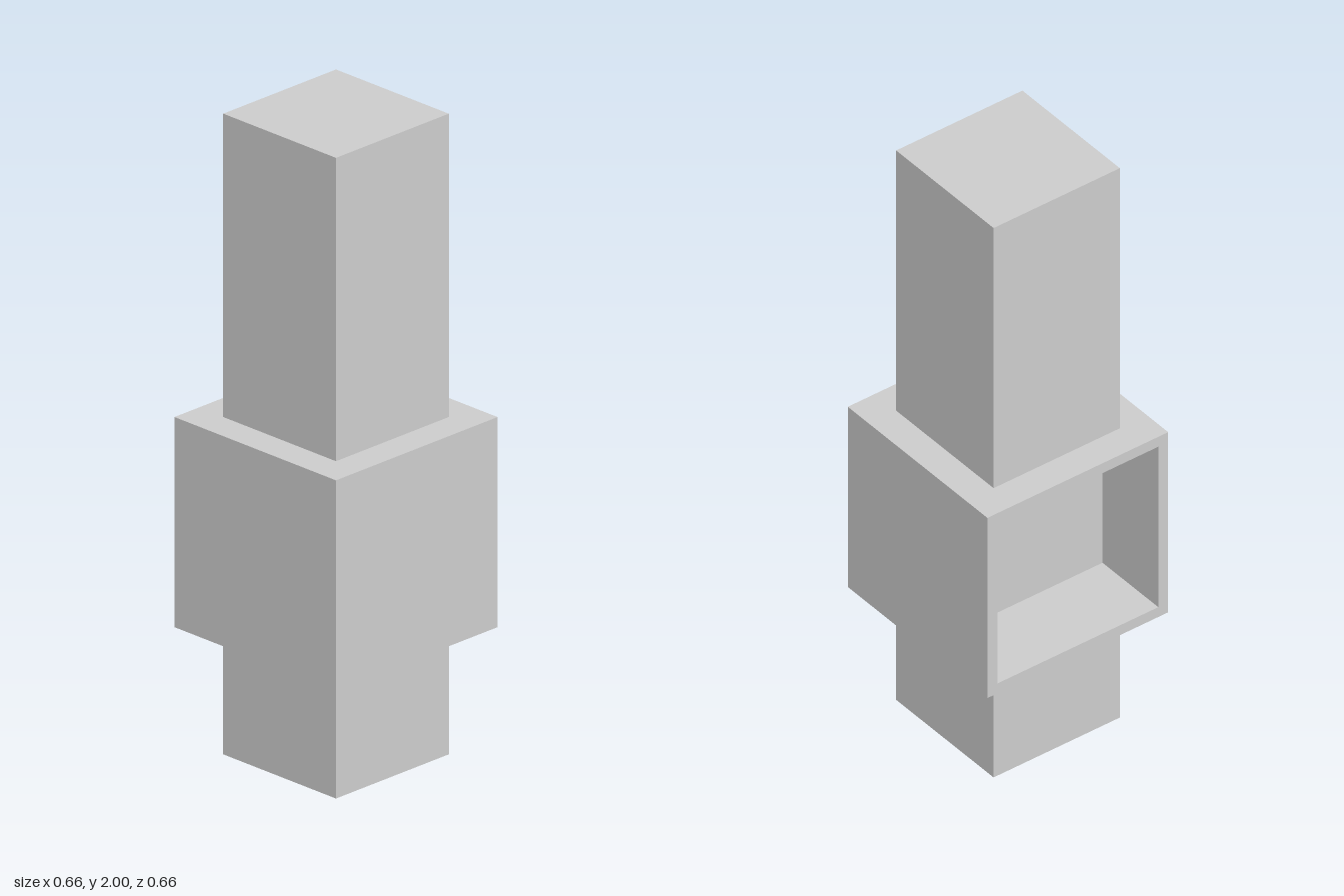
import * as THREE from 'three';

export function createModel() {
  const model = new THREE.Group();
  const material = new THREE.MeshStandardMaterial({ color: 0xcccccc, flatShading: true });

  const height = 2;
  const postWidth = 0.458;
  const half = 0.328;            // half the housing's side
  const housingBottom = 0.397;
  const housingTop = housingBottom + 2 * half;
  const opening = half - 0.036;  // half the opening's side
  const depth = 0.262;           // depth of the recess

  // Square post, below and above the housing
  function addPost(name, bottom, top) {
    const post = new THREE.Mesh(new THREE.BoxGeometry(postWidth, top - bottom, postWidth), material);
    post.name = name;
    post.position.y = (bottom + top) / 2;
    model.add(post);
  }
  addPost('lowerPost', 0, housingBottom);
  addPost('upperPost', housingTop, height);

  // Cubic housing: a four-sided lathe whose profile folds in to form the recess at the back
  const profile = [
    [0, -half], [half, -half], [half, half],
    [opening, half], [opening, half - depth], [0, half - depth],
  ].map(([r, y]) => new THREE.Vector2(r * Math.SQRT2, y));
  const geometry = new THREE.LatheGeometry(profile, 4, Math.PI / 4).toNonIndexed();
  geometry.rotateX(-Math.PI / 2);
  geometry.computeVertexNormals();
  const housing = new THREE.Mesh(geometry, material);
  housing.name = 'recessedHousing';
  housing.position.y = housingBottom + half;
  model.add(housing);

  return model;
}
